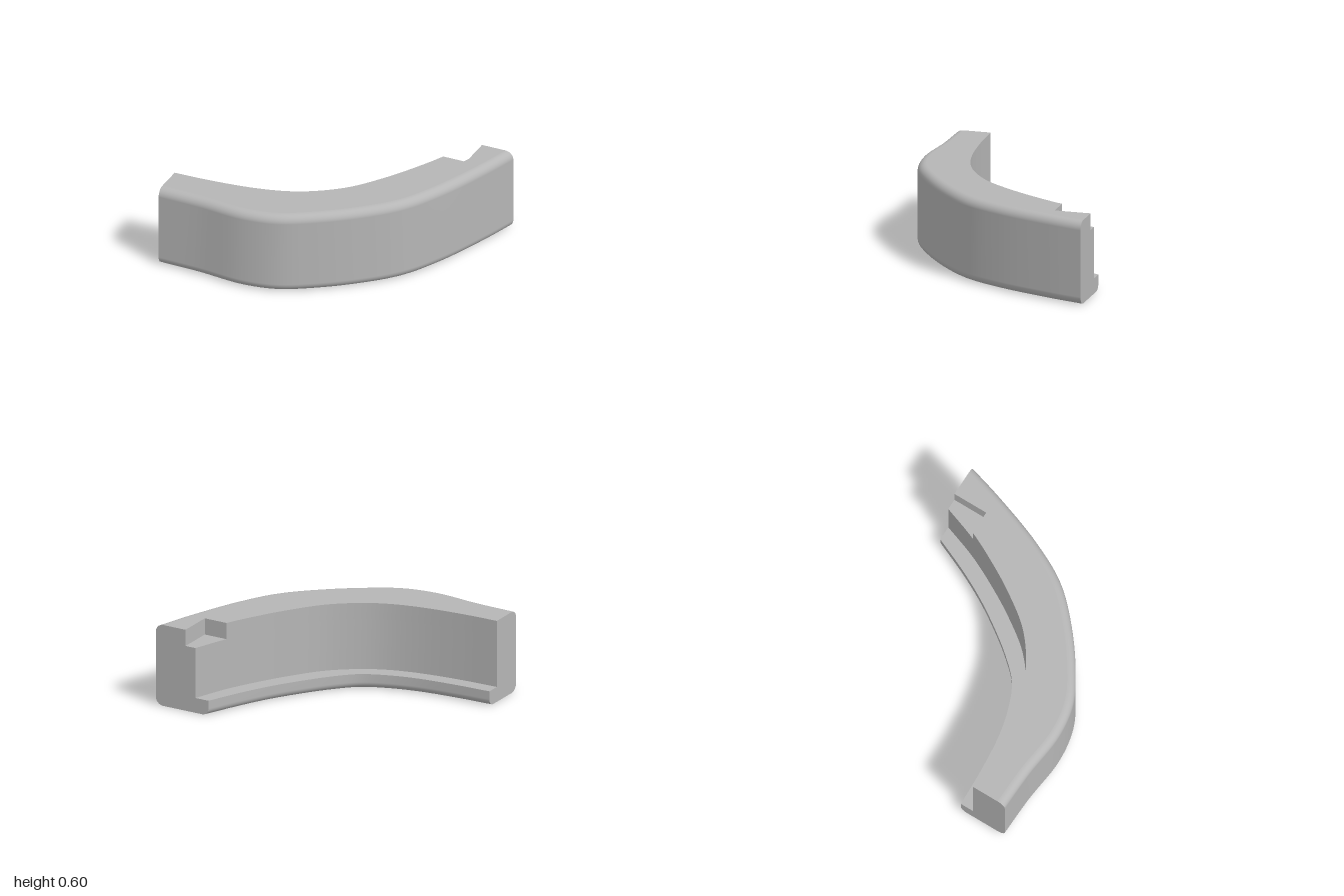
import * as THREE from 'three';

const H = 0.6, LIP = 0.11, NOTCH_Y = 0.48, NOTCH_X = 0.76; // heights and notch limit
const R_OUT = 0.06, R_IN = 0.05;                            // edge roundings
const PER = 8;                                              // steps between stations

// plan curves, given as matching [x, z] stations from the left end to the back end
const curve = (pts) => new THREE.CatmullRomCurve3(pts.map(([x, z]) => new THREE.Vector3(x, 0, z)));
const outer = [[-1, 0.74], [-0.7, 0.749], [-0.35, 0.778], [-0.1, 0.735], [0.12, 0.615],
  [0.38, 0.42], [0.61, 0.185], [0.775, -0.12], [0.922, -0.52], [1, -0.78]];
const wall = [[-1, 0.48], [-0.72, 0.47], [-0.4, 0.433], [-0.17, 0.372], [0, 0.285],
  [0.18, 0.14], [0.345, -0.08], [0.47, -0.29], [0.585, -0.52], [0.68, -0.78]];
const inner = [[-1, 0.38], [-0.72, 0.367], [-0.43, 0.335], [-0.22, 0.28], [-0.05, 0.2],
  [0.09, 0.06], [0.24, -0.14], [0.355, -0.32], [0.46, -0.52], [0.575, -0.78]];

export function createModel() {
  const group = new THREE.Group();
  const grey = new THREE.MeshStandardMaterial({ color: 0xb6b6b6, side: THREE.DoubleSide });
  grey.name = 'plain grey';

  const add = (name, geometry) => {
    const mesh = new THREE.Mesh(geometry, grey);
    mesh.name = name;
    group.add(mesh);
  };

  const last = (outer.length - 1) * PER, notchStart = last - PER;
  const [co, cw, ci] = [outer, wall, inner].map(curve);
  const stations = [];
  for (let i = 0; i <= last; i++) {
    const t = i / last;
    const o = co.getPoint(t), w = cw.getPoint(t), n = ci.getPoint(t);
    stations.push({ o, w, n, u: o.clone().sub(n).normalize(), notch: new THREE.Vector3(NOTCH_X, 0, w.z) });
  }
  const at = (p, y) => new THREE.Vector3(p.x, y, p.z);

  // rounded outside: over the outer edge, down, under, and up to the lip's inner edge
  const shell = ({ o, n, u }) => {
    const pts = [];
    const arc = (base, side, r, cy, from) => {
      for (let k = 0; k <= 8; k++) {
        const a = from - (k / 8) * Math.PI / 2;
        const p = base.clone().addScaledVector(u, -side * r + r * Math.cos(a));
        pts.push(at(p, cy + r * Math.sin(a)));
      }
    };
    arc(o, 1, R_OUT, H - R_OUT, Math.PI / 2);
    arc(o, 1, R_OUT, R_OUT, 0);
    arc(n, -1, R_IN, R_IN, -Math.PI / 2);
    pts.push(at(n, LIP));
    return pts;
  };
  const deckEdge = (s) => shell(s)[0];

  // surface swept through stations a..b
  const strip = (name, a, b, profile) => {
    const rows = stations.slice(a, b + 1).map(profile);
    const m = rows[0].length, index = [];
    for (let i = 0; i < rows.length - 1; i++) {
      for (let j = 0; j < m - 1; j++) {
        const p = i * m + j, q = p + m;
        index.push(p, p + 1, q, p + 1, q + 1, q);
      }
    }
    const g = new THREE.BufferGeometry().setFromPoints(rows.flat());
    g.setIndex(index);
    g.computeVertexNormals();
    add(name, g);
  };

  strip('roundedShell', 0, last, shell);
  strip('topFace', 0, notchStart, (s) => [at(s.w, H), deckEdge(s)]);
  strip('topFaceBesideNotch', notchStart, last, (s) => [at(s.notch, H), deckEdge(s)]);
  strip('lipTop', 0, last, (s) => [at(s.n, LIP), at(s.w, LIP)]);
  strip('innerWall', 0, last, (s) => [at(s.w, LIP), at(s.w, NOTCH_Y)]);
  strip('innerWallUpper', 0, notchStart, (s) => [at(s.w, NOTCH_Y), at(s.w, H)]);

  // notch in the top of the back end
  strip('notchFloor', notchStart, last, (s) => [at(s.w, NOTCH_Y), at(s.notch, NOTCH_Y)]);
  strip('notchSide', notchStart, last, (s) => [at(s.notch, NOTCH_Y), at(s.notch, H)]);
  const { w, notch } = stations[notchStart];
  const notchEnd = new THREE.PlaneGeometry(notch.x - w.x, H - NOTCH_Y);
  notchEnd.rotateY(Math.PI).translate((notch.x + w.x) / 2, (H + NOTCH_Y) / 2, w.z);
  add('notchEnd', notchEnd);

  // flat end faces
  const s0 = stations[0], s1 = stations[last];
  const leftOutline = [at(s0.w, H), ...shell(s0), at(s0.w, LIP)];
  const left = new THREE.ShapeGeometry(new THREE.Shape(leftOutline.map((p) => new THREE.Vector2(p.z, p.y))));
  add('sideEndFace', left.rotateY(-Math.PI / 2).translate(s0.w.x, 0, 0));
  const backOutline = [at(s1.w, NOTCH_Y), at(s1.notch, NOTCH_Y), at(s1.notch, H), ...shell(s1), at(s1.w, LIP)];
  const back = new THREE.ShapeGeometry(new THREE.Shape(backOutline.map((p) => new THREE.Vector2(-p.x, p.y))));
  add('backEndFace', back.rotateY(Math.PI).translate(0, 0, s1.w.z));

  return group;
}
